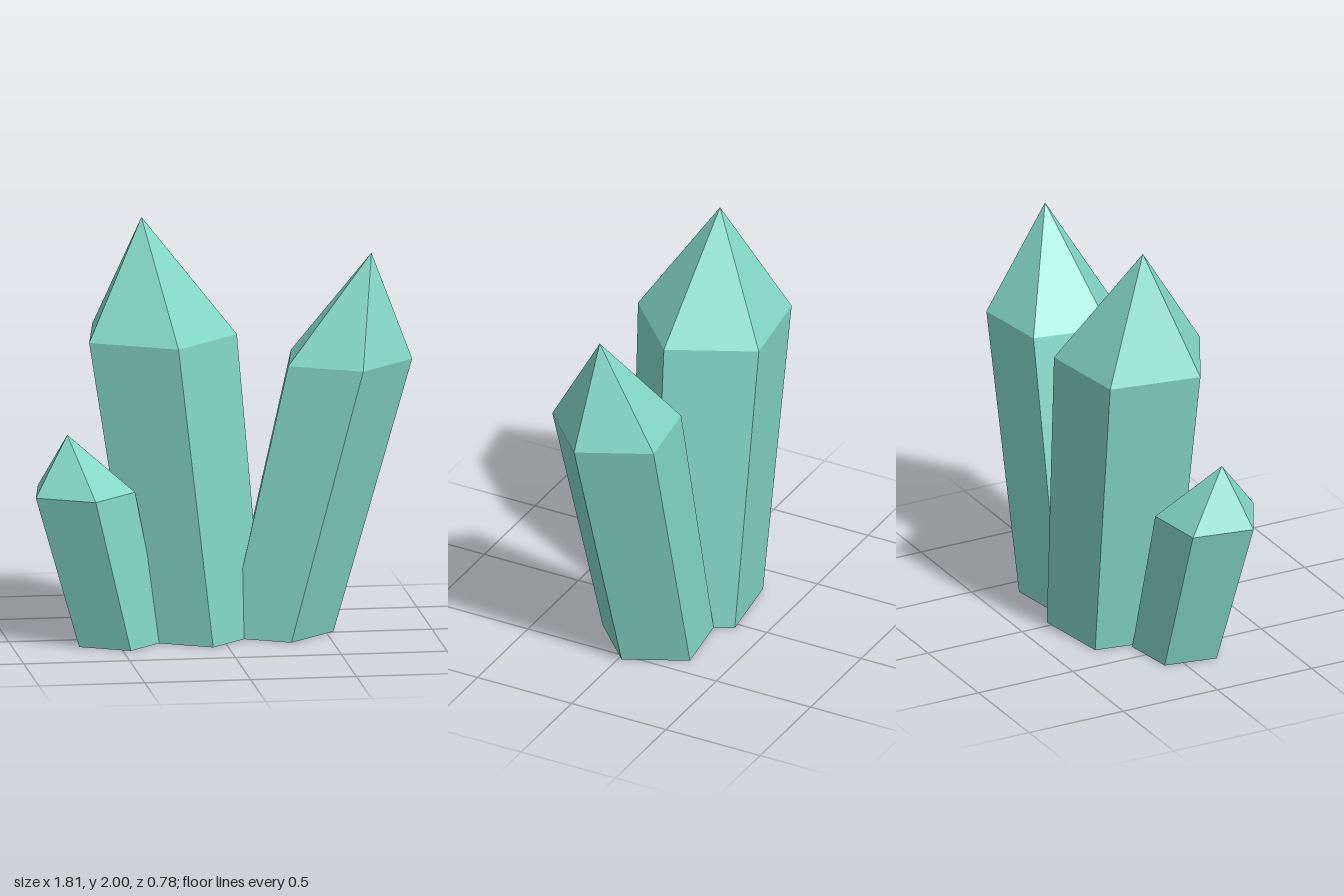
import * as THREE from 'three';

const SIDES = 5;
const BASE_SCALE = 0.86; // shafts narrow towards the foot
const TURN = THREE.MathUtils.degToRad(80);

// A leaning five-sided crystal: foot, shoulder and tip are [x, y, z] centres of its levels.
function crystal(name, material, radius, foot, shoulder, tip) {
  const profile = [
    new THREE.Vector2(0, 0),
    new THREE.Vector2(radius * BASE_SCALE, 0),
    new THREE.Vector2(radius, shoulder[1]),
    new THREE.Vector2(0, tip[1]),
  ];
  const lathe = new THREE.LatheGeometry(profile, SIDES, TURN);

  // Slide each level sideways onto its own centre
  const centres = [foot, foot, shoulder, tip];
  const pos = lathe.attributes.position;
  for (let i = 0; i < pos.count; i++) {
    const c = centres[i % profile.length];
    pos.setX(i, pos.getX(i) + c[0]);
    pos.setZ(i, pos.getZ(i) + c[2]);
  }

  const geometry = lathe.toNonIndexed();
  geometry.computeVertexNormals();
  const mesh = new THREE.Mesh(geometry, material);
  mesh.name = name;
  return mesh;
}

export function createModel() {
  const model = new THREE.Group();
  model.name = 'crystalCluster';

  const mint = new THREE.MeshStandardMaterial({ color: 0x84d8c6, flatShading: true });
  mint.name = 'mint crystal';

  model.add(
    crystal('tallCrystal', mint, 0.378, [-0.116, 0, -0.062], [-0.295, 1.44, -0.06], [-0.365, 2, -0.055]),
    crystal('leaningCrystal', mint, 0.317, [0.268, 0, -0.063], [0.588, 1.305, -0.014], [0.713, 1.81, 0.005]),
    crystal('smallCrystal', mint, 0.254, [-0.494, 0, 0.067], [-0.678, 0.735, 0.131], [-0.746, 1.015, 0.16]),
  );
  return model;
}
